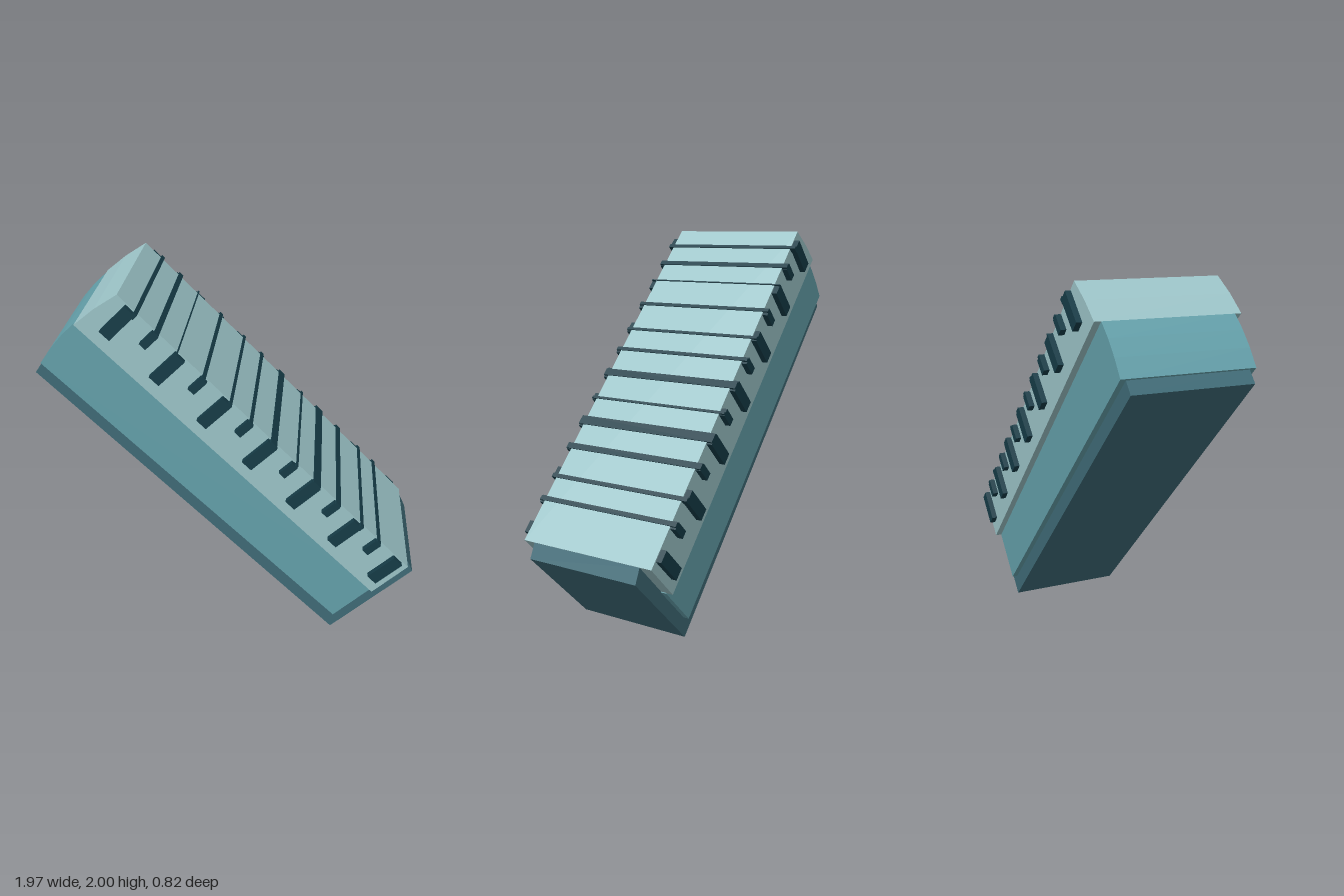
import * as THREE from 'three';

const material = (color) => new THREE.MeshStandardMaterial({ color, flatShading: true });

export function createModel() {
  const model = new THREE.Group();
  const coreMat = material(0x3f6b77);
  const midMat = material(0x64a0aa);
  const slabMat = material(0x9cc4c8);
  const darkMat = material(0x163c47);

  // Side profile extruded symmetrically across z
  const addSlab = (name, points, halfDepth, mat) => {
    const shape = new THREE.Shape(points.map(([x, y]) => new THREE.Vector2(x, y)));
    const geometry = new THREE.ExtrudeGeometry(shape, { depth: 2 * halfDepth, bevelEnabled: false });
    geometry.translate(0, 0, -halfDepth);
    const mesh = new THREE.Mesh(geometry, mat);
    mesh.name = name;
    model.add(mesh);
  };

  // Narrow core, showing at the underside and lower end
  addSlab('core', [
    [-0.985, 1.55], [0.56, 0], [0.985, 0.43], [0.95, 0.503],
    [-0.53, 1.985], [-0.74, 1.83], [-0.935, 1.61],
  ], 0.315, coreMat);

  // Wider middle body with a gently curved upper end
  addSlab('middleBody', [
    [-0.945, 1.615], [0.57, 0.11], [0.775, 0.32], [-0.75, 1.84],
    [-0.82, 1.775], [-0.885, 1.7],
  ], 0.345, midMat);

  // Widest top layer
  addSlab('topLayer', [
    [-0.75, 1.84], [0.77, 0.32], [0.95, 0.505], [-0.53, 2], [-0.645, 1.925],
  ], 0.38, slabMat);

  // Bars cross the top layer; the given point is the middle of their top face
  const addBar = (name, x, lift, width, height) => {
    const t = (x + 0.53) / 1.48;
    const y = 2 - 1.495 * t;
    const drop = (lift - height / 2) * Math.SQRT1_2;
    const bar = new THREE.Mesh(new THREE.BoxGeometry(width, height, 0.82), darkMat);
    bar.position.set(x + drop, y + drop, 0);
    bar.rotation.z = -Math.PI / 4;
    bar.name = name;
    model.add(bar);
  };

  // Alternating long and short bars, their ends standing out at both sides
  for (let i = 0; i < 13; i++) {
    const long = i % 2 === 0;
    addBar(long ? 'longBar' : 'shortBar', -0.465 + 0.1133 * i, -0.006,
      long ? 0.065 : 0.042, long ? 0.184 : 0.09);
  }

  // Thin ridges of varied width where the bars break through the top
  const ridges = [
    [-0.445, 0.015], [-0.35, 0.02], [-0.255, 0.005], [-0.13, 0.015],
    [0, 0.012], [0.1, 0.015], [0.215, 0.03], [0.335, 0.01],
    [0.44, 0.037], [0.555, 0.024], [0.685, 0.016], [0.78, 0.018],
  ];
  for (const [x, w] of ridges) addBar('topRidge', x, 0.004, w * Math.SQRT2, 0.03);

  return model;
}
